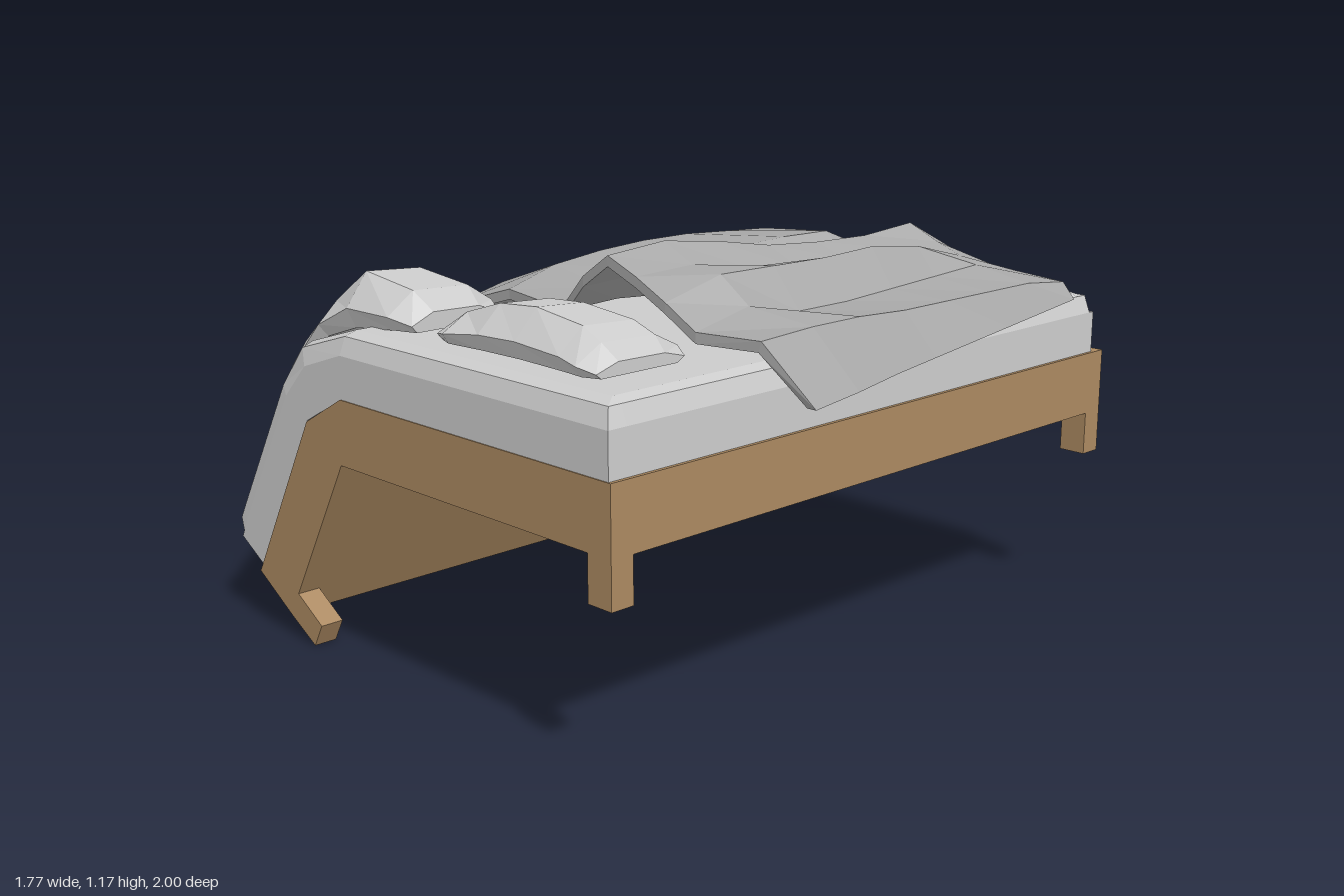
import * as THREE from 'three';

const material = (color) => new THREE.MeshStandardMaterial({ color, flatShading: true, side: THREE.DoubleSide });

// Skin a list of equal-length rings (counter-clockwise seen from the end of the path) and cap both ends.
function loft(rings) {
  const pos = [], n = rings[0].length;
  const quad = (a, b, c, d) => [a, b, c, a, c, d].forEach((p) => pos.push(...p));
  for (let k = 0; k < rings.length - 1; k++) {
    for (let i = 0; i < n; i++) {
      const j = (i + 1) % n;
      quad(rings[k][i], rings[k][j], rings[k + 1][j], rings[k + 1][i]);
    }
  }
  const first = rings[0], last = rings[rings.length - 1];
  for (let i = 0; i < n / 2 - 1; i++) {
    quad(last[i], last[i + 1], last[n - 2 - i], last[n - 1 - i]);
    quad(first[n - 1 - i], first[n - 2 - i], first[i + 1], first[i]);
  }
  const geo = new THREE.BufferGeometry();
  geo.setAttribute('position', new THREE.Float32BufferAttribute(pos, 3));
  geo.computeVertexNormals();
  return geo;
}

// Extrude a side outline along z between z0 and z1.
function slab(points, z0, z1) {
  const shape = new THREE.Shape(points.map((p) => new THREE.Vector2(...p)));
  return new THREE.ExtrudeGeometry(shape, { depth: z1 - z0, bevelEnabled: false }).translate(0, 0, z0);
}

// Stations run along the bend: [base x, base y, rise x, rise y, height limit].
function mattressGeometry() {
  const stations = [
    [-0.73, 0.18, -0.165, 0.095, 0.66], [-0.72, 0.2, -0.165, 0.095, 0.93], [-0.7, 0.235, -0.165, 0.095, 1],
    [-0.455, 0.67, -0.155, 0.08, 1], [-0.37, 0.715, -0.13, 0.165, 1], [-0.28, 0.76, 0, 0.185, 1],
    [0.74, 0.76, 0, 0.185, 1], [0.77, 0.76, 0, 0.185, 0.93], [0.79, 0.76, 0, 0.185, 0.66],
  ];
  const zb = -0.955, zf = 0.997;
  const section = [[zb, 0], [zb, 0.66], [zb + 0.02, 0.93], [zb + 0.06, 1],
    [zf - 0.06, 1], [zf - 0.02, 0.93], [zf, 0.66], [zf, 0]];
  return loft(stations.map(([x, y, nx, ny, top]) => section.map(([z, h]) => {
    const t = Math.min(h, top);
    return [x + nx * t, y + ny * t, z];
  })));
}

// Stations: [base x, base y, normal x, normal y, thickness, width scale].
function pillowGeometry(stations, zMid) {
  const section = [[-0.15, 0], [-0.18, 0.4], [-0.1, 0.92], [0.08, 1], [0.165, 0.38], [0.145, 0]];
  return loft(stations.map(([x, y, nx, ny, thick, w]) => section.map(([z, h]) =>
    [x + nx * thick * h, y + ny * thick * h, zMid + z * w])));
}

// Columns: [base x at back, base x at front, base y, normal x, normal y, back z, front z].
// Rows hold heights above the mattress in hundredths, from back to front.
function blanketGeometry() {
  const columns = [
    [-0.69, -0.69, 0.615, -0.87, 0.5, -0.84, 0.48], [-0.6, -0.6, 0.765, -0.8, 0.6, -0.85, 0.42],
    [-0.5, -0.5, 0.88, -0.5, 0.86, -0.85, 0.41], [-0.28, -0.28, 0.945, -0.1, 1, -0.85, 0.41],
    [0.03, -0.06, 0.945, 0, 1, -0.8, 0.44], [0.09, 0.03, 0.945, 0, 1, -0.79, 0.46],
    [0.15, 0.12, 0.945, 0, 1, -0.78, 0.48], [0.36, 0.23, 0.945, 0, 1, -0.82, 0.49],
    [0.44, 0.35, 0.945, 0, 1, -0.85, 0.5], [0.53, 0.47, 0.945, 0, 1, -0.84, 0.51],
    [0.58, 0.58, 0.945, 0, 1, -0.84, 0.51], [0.75, 0.75, 0.945, 0.3, 1, -0.83, 0.47],
    [0.78, 0.85, 0.94, 1, 0, -0.82, 0.4],
  ];
  const rows = [
    [3, 4, 4, 5, 5, 5, 4, 5, 5, 5, 5, 4, 3],
    [5, 8, 9, 10, 13, 9, 6, 19, 14, 11, 9, 6, 3],
    [7, 9, 9, 11, 13, 9, 5, 17, 14, 16, 8, 6, 3],
    [8, 9, 10, 12, 12, 8, 5, 17, 13, 18, 7, 6, 3],
    [8, 9, 10, 12, 12, 7, 5, 18, 13, 17, 6, 6, 3],
    [8, 9, 10, 11, 9, 6, 7, 21, 15, 17, 6, 7, 3],
    [7, 8, 8, 9, 6, 7, 15, 23, 18, 17, 10, 7, 4],
    [3, 4, 4, 4, 3, 6, 14, 21, 17, 12, 6, 6, 4],
  ];
  const drop = (j) => (j === 12 ? 0.1 : 0); // the free edge hangs lower toward the front
  return loft(rows.map((heights, r) => {
    const t = r / (rows.length - 1);
    const point = (j, thick) => {
      const [xb, xf, y, nx, ny, zb, zf] = columns[j];
      const h = heights[j] / 100 - thick;
      return [xb + (xf - xb) * t + nx * h, y + ny * h - drop(j) * t, zb + (zf - zb) * t];
    };
    const order = columns.map((_, j) => j);
    return [...order.slice().reverse().map((j) => point(j, 0)), ...order.map((j) => point(j, 0.03))];
  }));
}

export function createModel() {
  const model = new THREE.Group();
  const wood = material(0xab8961), linen = material(0xcccccc), cover = material(0xa8a8a8);
  const add = (name, geo, mat) => {
    const mesh = new THREE.Mesh(geo, mat);
    mesh.name = name;
    model.add(mesh);
  };

  // Bent bed frame
  add('bedFrame', slab([[0.8, 0.76], [-0.285, 0.76], [-0.455, 0.667], [-0.745, 0.158],
    [-0.588, 0.064], [-0.293, 0.574], [0.8, 0.574]], -1, 1), wood);

  // Four corner legs, the right pair tilted with the folded end
  for (const [side, z] of [['back', -1], ['front', 0.93]]) {
    add(side + 'LeftLeg', slab([[0.717, 0.574], [0.717, 0.447], [0.8, 0.447], [0.8, 0.574]], z, z + 0.07), wood);
    add(side + 'RightLeg', slab([[-0.588, 0.064], [-0.472, 0], [-0.432, 0.07], [-0.545, 0.138]], z, z + 0.07), wood);
  }

  add('mattress', mattressGeometry(), linen);

  // Pillow draped over the bend
  add('bentPillow', pillowGeometry([
    [-0.83, 0.365, -0.87, 0.5, 0.05, 0.85], [-0.78, 0.46, -0.87, 0.5, 0.11, 1.1],
    [-0.61, 0.75, -0.8, 0.6, 0.13, 1.05], [-0.5, 0.885, -0.5, 0.86, 0.1, 1],
    [-0.36, 0.93, -0.25, 1, 0.145, 1], [-0.18, 0.95, 0, 1, 0.1, 1.02], [-0.11, 0.95, 0, 1, 0.05, 0.85],
  ], 0.74), linen);

  // Pillow lying flat
  add('flatPillow', pillowGeometry([
    [0, 0.95, 0, 1, 0.05, 0.85], [0.05, 0.95, 0, 1, 0.075, 0.98], [0.18, 0.95, 0, 1, 0.115, 0.9],
    [0.32, 0.95, 0, 1, 0.125, 0.87], [0.5, 0.95, 0, 1, 0.105, 0.93], [0.57, 0.95, 0, 1, 0.075, 0.98],
    [0.62, 0.95, 0, 1, 0.035, 0.85],
  ], 0.74), linen);

  // Rumpled blanket
  add('blanket', blanketGeometry(), cover);
  return model;
}
